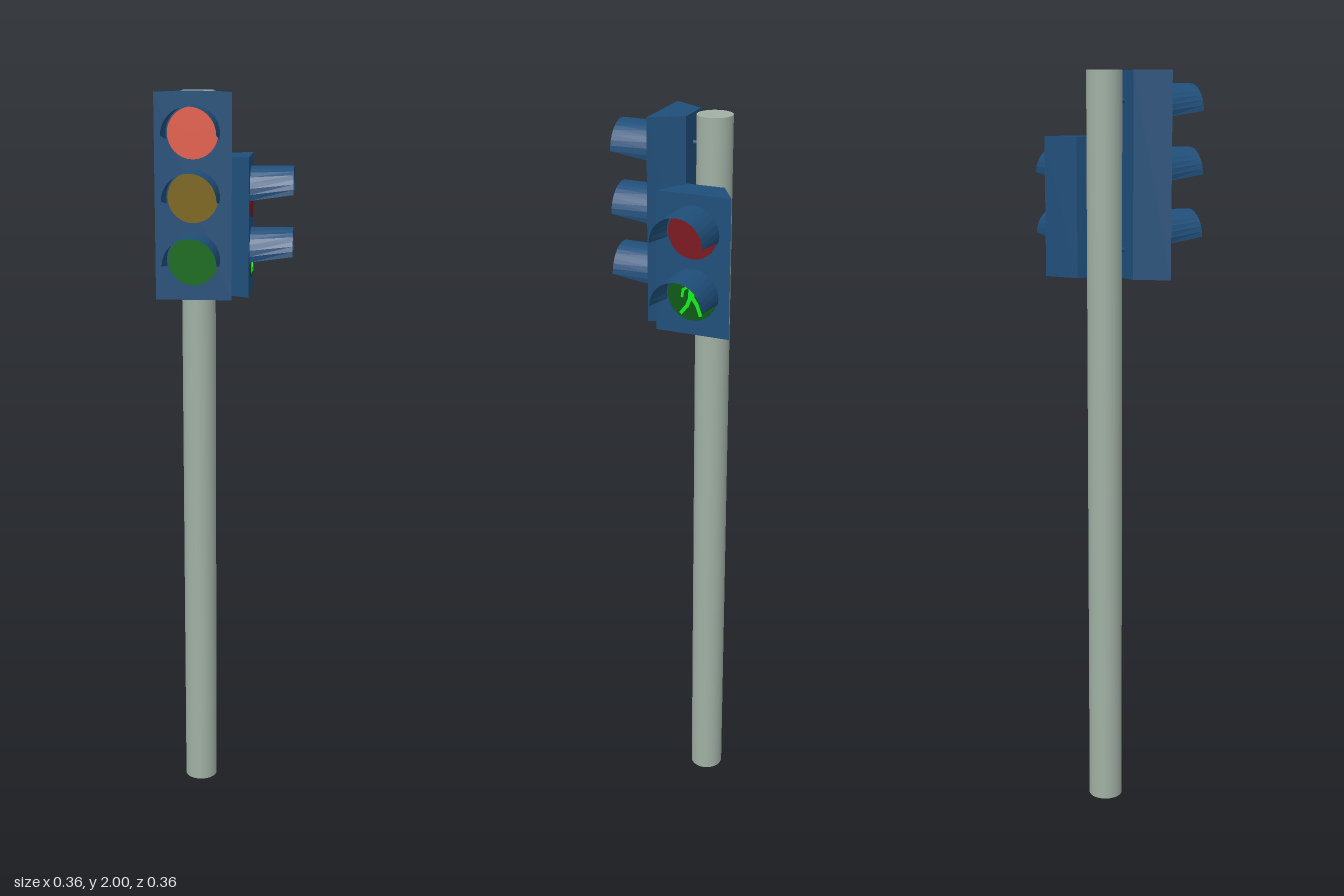
import * as THREE from 'three';

const mat = (color, extra = {}) => {
  const m = new THREE.MeshStandardMaterial({ color, ...extra });
  return m;
};
const BLUE = mat(0x1f4e79, { flatShading: true });
const HOOD = mat(0x1f4e79, { flatShading: true, side: THREE.DoubleSide });
const POLE = mat(0xa0b0a4);
const GLOW = mat(0x10f020);

const AXIS = -0.079; // pole position in x and z
const BACK = 0.057, FRONT = 0.142; // housing depth, measured from the pole axis
const BASE = 1.47;

function add(group, name, geometry, material, x = 0, y = 0, z = 0) {
  const mesh = new THREE.Mesh(geometry, material);
  mesh.name = name;
  mesh.position.set(x, y, z);
  group.add(mesh);
  return mesh;
}

// Housing: trapezoid plan, narrow at the back, extruded upwards
function housingGeometry(height) {
  const plan = new THREE.Shape([
    new THREE.Vector2(-0.05, -BACK), new THREE.Vector2(-0.1, -FRONT),
    new THREE.Vector2(0.1, -FRONT), new THREE.Vector2(0.05, -BACK),
  ]);
  return new THREE.ExtrudeGeometry(plan, { depth: height, bevelEnabled: false }).rotateX(-Math.PI / 2);
}

// Hood: open half tube whose lower edge rises towards the tip
function hoodGeometry() {
  const r = 0.07, length = 0.114, seg = 16;
  const g = new THREE.PlaneGeometry(1, 1, seg, 1);
  const p = g.attributes.position;
  for (let i = 0; i < p.count; i++) {
    const t = p.getY(i) + 0.5; // 0 at the housing, 1 at the tip
    const droop = 0.23 * (1 - t);
    const a = -droop + (0.5 - p.getX(i)) * (Math.PI + 2 * droop);
    p.setXYZ(i, r * Math.cos(a), r * Math.sin(a), t * length);
  }
  g.computeVertexNormals();
  return g;
}

// Walking figure: a head and straight limbs
function walkingFigure() {
  const figure = new THREE.Group();
  figure.name = 'walkingFigure';
  add(figure, 'head', new THREE.CylinderGeometry(0.01, 0.01, 0.002, 16).rotateX(Math.PI / 2), GLOW, 0, 0.044, 0);
  const limbs = [
    ['torso', 0, 0.032, -0.002, -0.008, 0.017],
    ['rearArm', -0.004, 0.028, -0.024, 0.014, 0.007],
    ['rearForearm', -0.024, 0.016, -0.027, -0.006, 0.007],
    ['frontArm', 0.004, 0.028, 0.018, 0.008, 0.007],
    ['frontForearm', 0.017, 0.009, 0.033, 0.004, 0.007],
    ['rearThigh', -0.004, -0.004, -0.014, -0.03, 0.01],
    ['rearShin', -0.013, -0.027, -0.031, -0.05, 0.009],
    ['frontThigh', 0.001, -0.004, 0.015, -0.025, 0.01],
    ['frontShin', 0.014, -0.023, 0.024, -0.052, 0.009],
  ];
  for (const [name, x0, y0, x1, y1, w] of limbs) {
    const length = Math.hypot(x1 - x0, y1 - y0);
    const limb = add(figure, name, new THREE.BoxGeometry(w, length, 0.002), GLOW, (x0 + x1) / 2, (y0 + y1) / 2, 0);
    limb.rotation.z = Math.atan2(y1 - y0, x1 - x0) - Math.PI / 2;
  }
  return figure;
}

// Signal head facing +z, origin on the pole axis; lamps listed top to bottom
function signalHead(name, height, lamps, bracketHeights) {
  const head = new THREE.Group();
  head.name = name;
  add(head, 'housing', housingGeometry(height), BLUE, 0, BASE, 0);
  lamps.forEach(([lampName, color], i) => {
    const y = 1.575 + 0.162 * (lamps.length - 1 - i);
    add(head, lampName + 'Lamp', new THREE.CylinderGeometry(0.066, 0.066, 0.004, 32).rotateX(Math.PI / 2),
      mat(color), 0, y, FRONT + 0.001);
    add(head, lampName + 'Hood', hoodGeometry(), HOOD, 0, y, FRONT);
  });
  for (const y of bracketHeights) {
    add(head, 'bracket', new THREE.CylinderGeometry(0.006, 0.006, 0.024, 12).rotateX(Math.PI / 2), BLUE, 0, y, 0.049);
  }
  return head;
}

export function createModel() {
  const model = new THREE.Group();
  model.name = 'trafficLight';

  add(model, 'pole', new THREE.CylinderGeometry(0.046, 0.046, 2, 32), POLE, AXIS, 1, AXIS);

  const vehicle = signalHead('vehicleSignal', 0.53,
    [['red', 0xe25c48], ['amber', 0x7a6410], ['green', 0x0c6a14]], [1.925, 1.545]);
  vehicle.position.set(AXIS, 0, AXIS);

  const pedestrian = signalHead('pedestrianSignal', 0.365,
    [['red', 0x7a1820], ['green', 0x0c5a14]], [1.76, 1.545]);
  const figure = walkingFigure();
  figure.position.set(0, 1.575, FRONT + 0.004);
  pedestrian.add(figure);
  pedestrian.position.set(AXIS, 0, AXIS);
  pedestrian.rotation.y = Math.PI / 2;

  model.add(vehicle, pedestrian);
  return model;
}
